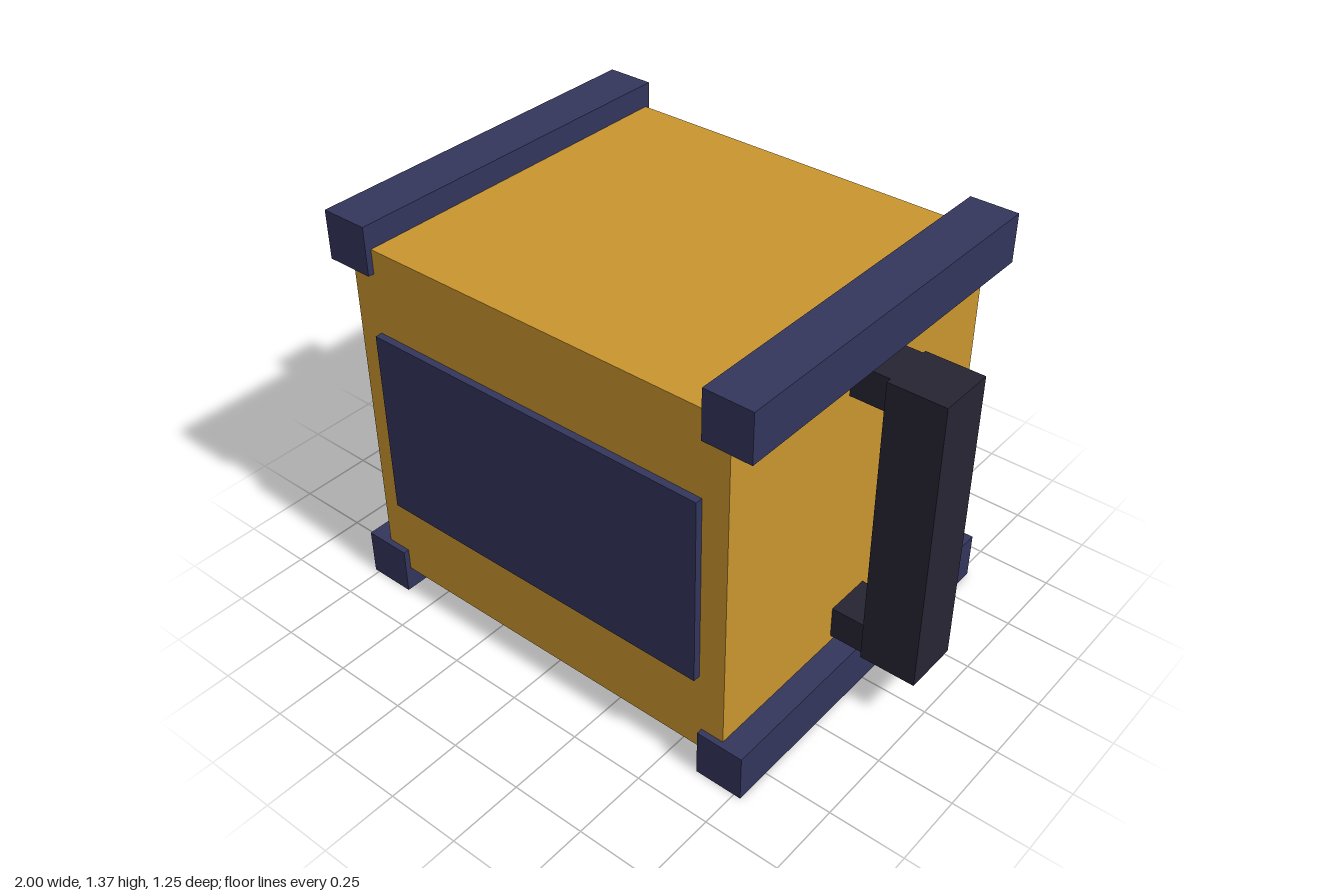
import * as THREE from 'three';

const yellow = new THREE.MeshStandardMaterial({ color: 0xc9952e });
const navy = new THREE.MeshStandardMaterial({ color: 0x33355c });
const dark = new THREE.MeshStandardMaterial({ color: 0x272433 });

// Box given by its extents along each axis
function box(name, material, [x0, x1], [y0, y1], [z0, z1]) {
  const mesh = new THREE.Mesh(new THREE.BoxGeometry(x1 - x0, y1 - y0, z1 - z0), material);
  mesh.position.set((x0 + x1) / 2, (y0 + y1) / 2, (z0 + z1) / 2);
  mesh.name = name;
  return mesh;
}

export function createModel() {
  const model = new THREE.Group();
  model.name = 'crate';

  // Main body and front panel
  model.add(box('body', yellow, [-0.691, 0.691], [0.084, 1.289], [-0.606, 0.602]));
  model.add(box('frontPanel', navy, [-0.605, 0.603], [0.366, 1.006], [0.58, 0.626]));

  for (const side of [1, -1]) {
    const label = side > 0 ? 'left' : 'right';
    const span = (a, b) => (side > 0 ? [a, b] : [-b, -a]);

    // Corner rails along the depth
    const railX = side > 0 ? [0.613, 0.773] : [-0.767, -0.607];
    model.add(box(label + 'BottomRail', navy, railX, [0, 0.161], [-0.624, 0.622]));
    model.add(box(label + 'TopRail', navy, railX, [1.208, 1.369], [-0.624, 0.622]));

    // Side handle: upright grip on two brackets
    const handle = new THREE.Group();
    handle.name = label + 'Handle';
    handle.add(box('grip', dark, span(0.812, 1), [0.184, 1.188], [-0.097, 0.092]));
    handle.add(box('lowerBracket', dark, span(0.68, 0.812), [0.184, 0.294], [-0.086, 0.074]));
    handle.add(box('upperBracket', dark, span(0.68, 0.812), [1.078, 1.188], [-0.086, 0.074]));
    model.add(handle);
  }
  return model;
}
